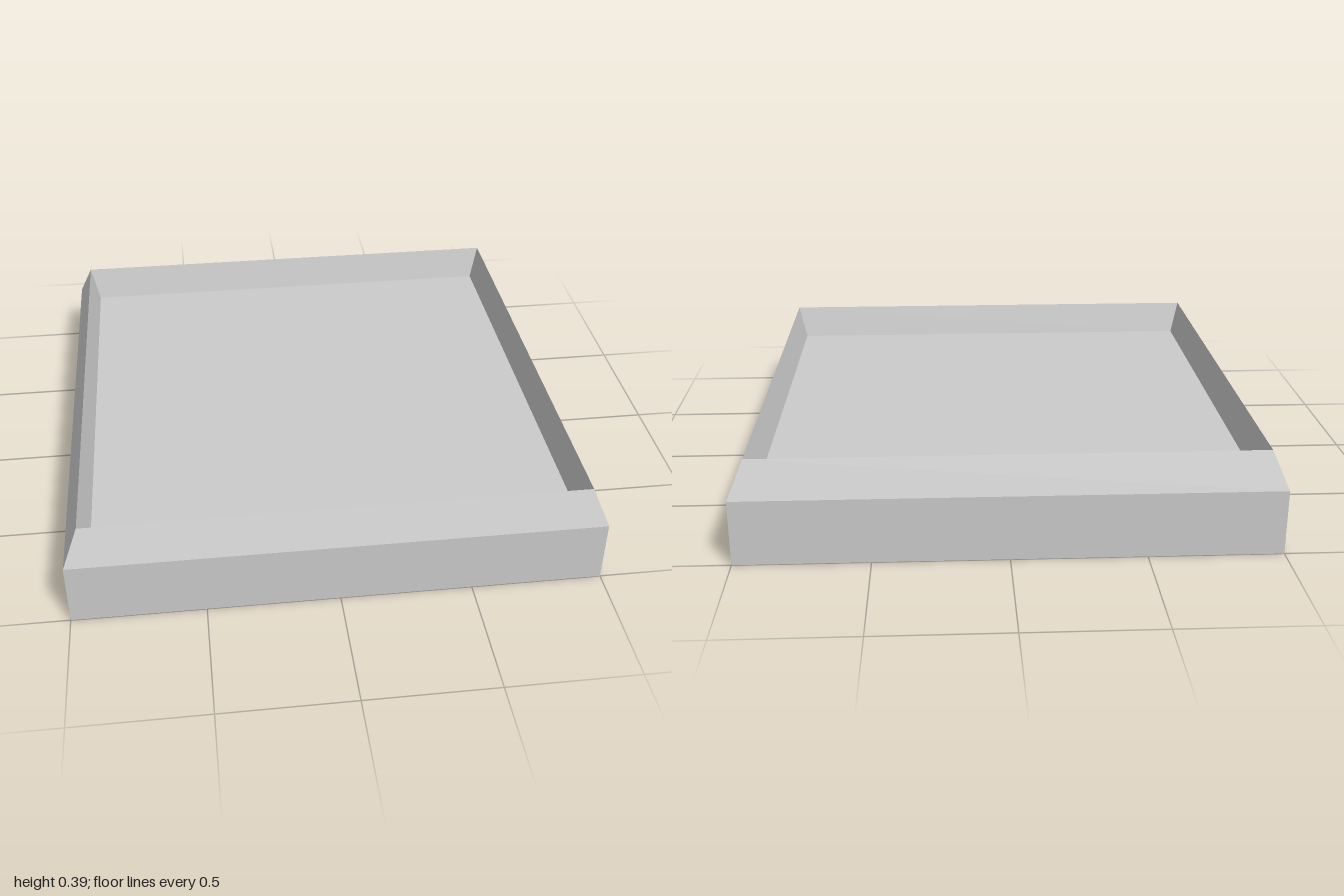
import * as THREE from 'three';

const material = new THREE.MeshStandardMaterial({ color: 0xcccccc, flatShading: true });

// Sweeps a [half width, height] profile around a square plan
function squareSweep(name, profile) {
  const points = profile.map(([half, y]) => new THREE.Vector2(half * Math.SQRT2, y));
  const swept = new THREE.LatheGeometry(points, 4, Math.PI / 4).toNonIndexed();
  swept.computeVertexNormals();
  const mesh = new THREE.Mesh(swept, material);
  mesh.name = name;
  return mesh;
}

export function createModel() {
  const group = new THREE.Group();
  group.name = 'squareTray';

  const baseHeight = 0.25;
  const rimHeight = 0.387;
  const rimHalf = 0.942; // half width at the sharp crest
  const floorHalf = 0.907; // half width of the recessed floor

  // Underside and upright outer walls
  group.add(squareSweep('base', [[0, 0], [1, 0], [1, baseHeight]]));

  // Sloped rim rising to a sharp crest and falling to the floor
  group.add(squareSweep('rim', [[1, baseHeight], [rimHalf, rimHeight], [floorHalf, baseHeight]]));

  // Flat recessed floor
  const floor = new THREE.Mesh(new THREE.PlaneGeometry(floorHalf * 2, floorHalf * 2), material);
  floor.name = 'floor';
  floor.rotation.x = -Math.PI / 2;
  floor.position.y = baseHeight;
  group.add(floor);

  return group;
}
